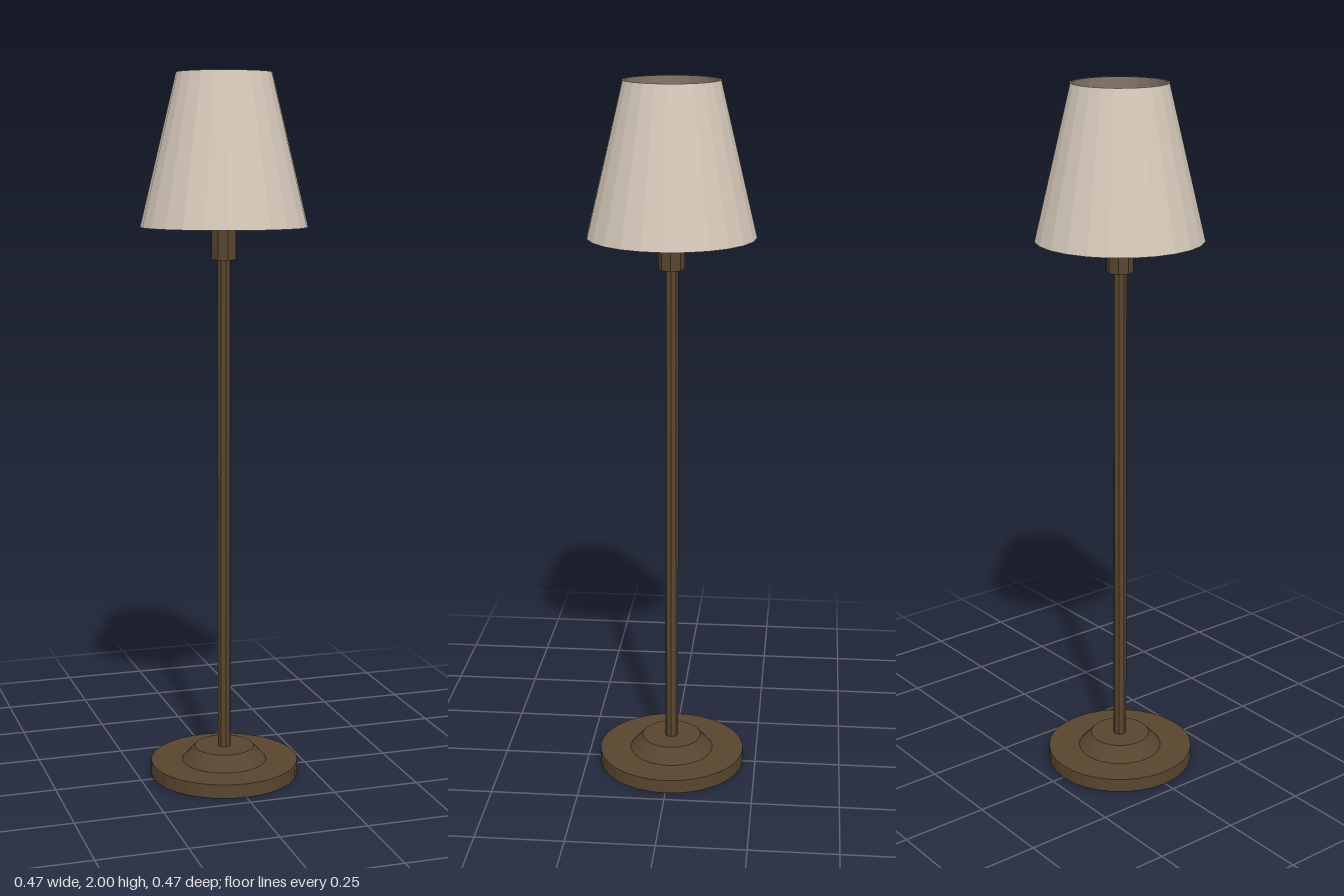
import * as THREE from 'three';

const material = (name, color, side = THREE.FrontSide) => {
  const m = new THREE.MeshStandardMaterial({ color, flatShading: true, side });
  m.name = name;
  return m;
};

export function createModel() {
  const lamp = new THREE.Group();
  lamp.name = 'floorLamp';

  const bronze = material('darkBronze', 0x58452f);
  const fabric = material('shadeFabric', 0xd6c9ba);
  const lining = material('shadeLining', 0x918276, THREE.DoubleSide);

  const add = (name, geometry, mat, y) => {
    const mesh = new THREE.Mesh(geometry, mat);
    mesh.name = name;
    mesh.position.y = y;
    lamp.add(mesh);
  };
  // Upright round part between two heights
  const round = (name, mat, rBottom, rTop, y0, y1, sides, open = false) =>
    add(name, new THREE.CylinderGeometry(rTop, rBottom, y1 - y0, sides, 1, open), mat, (y0 + y1) / 2);

  // Stepped foot
  round('baseDisc', bronze, 0.213, 0.213, 0, 0.04, 32);
  round('baseCollar', bronze, 0.122, 0.086, 0.04, 0.08, 32);

  // Pole and lamp holder
  round('pole', bronze, 0.019, 0.019, 0.08, 1.49, 8);
  round('socket', bronze, 0.037, 0.037, 1.49, 1.58, 8);
  round('socketCap', lining, 0.037, 0.037, 1.58, 1.584, 8);

  // Tapered faceted shade with a thin wall
  const sides = 24, wall = 0.004, bottom = 0.233, top = 0.132, y0 = 1.58, y1 = 2;
  round('shadeOuter', fabric, bottom, top, y0, y1, sides, true);
  round('shadeInner', lining, bottom - wall, top - wall, y0, y1, sides, true);
  const rim = (r, tilt) => new THREE.RingGeometry(r - wall, r, sides).rotateX(tilt);
  add('shadeTopRim', rim(top, -Math.PI / 2), fabric, y1);
  add('shadeBottomRim', rim(bottom, Math.PI / 2), fabric, y0);

  return lamp;
}
